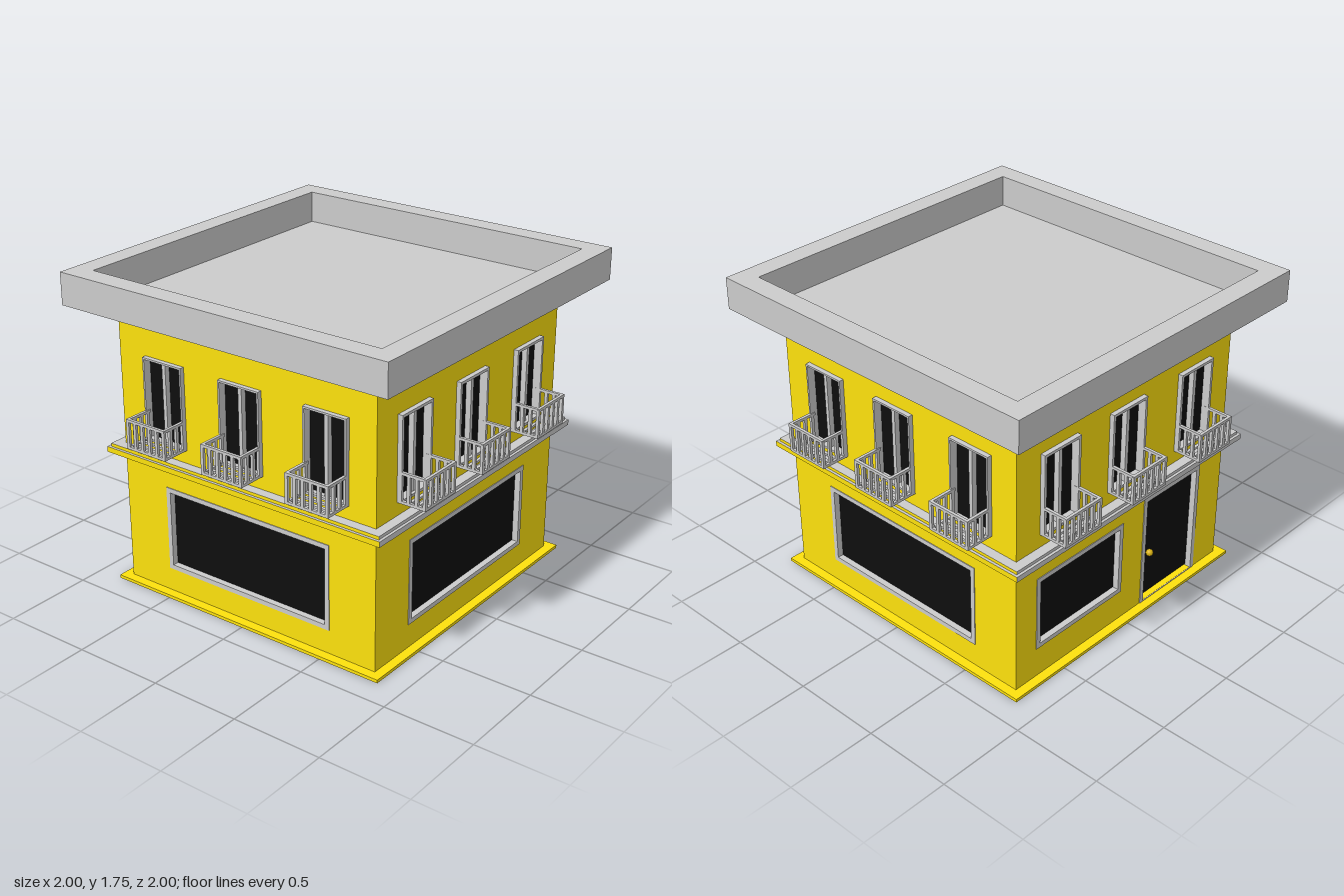
import * as THREE from 'three';

const mat = (color) => new THREE.MeshStandardMaterial({ color });
const grey = mat(0xcccccc), yellow = mat(0xfde10d), black = mat(0x0e0e0e), gold = mat(0xd8b010);
const WALL = 0.806; // half width of the building

function add(parent, name, geometry, material, x = 0, y = 0, z = 0) {
  const mesh = new THREE.Mesh(geometry, material);
  mesh.name = name;
  mesh.position.set(x, y, z);
  parent.add(mesh);
  return mesh;
}

const box = (parent, name, material, w, h, d, x, y, z) =>
  add(parent, name, new THREE.BoxGeometry(w, h, d), material, x, y, z);

// Rectangle path from left/right/bottom/top
function rect(Type, l, r, b, t) {
  const p = new Type();
  p.moveTo(l, b);
  p.lineTo(r, b);
  p.lineTo(r, t);
  p.lineTo(l, t);
  p.closePath();
  return p;
}

// Picture-frame ring with the dark pane set back inside it
function framedPane(parent, name, [l, r, b, t], rim, back, front, paneZ, sill = rim) {
  const shape = rect(THREE.Shape, l, r, b, t);
  shape.holes.push(rect(THREE.Path, l + rim, r - rim, b + sill, t - rim));
  const geo = new THREE.ExtrudeGeometry(shape, { depth: front - back, bevelEnabled: false });
  add(parent, name + 'Frame', geo, grey, 0, 0, back);
  box(parent, name + 'Pane', black, r - l - rim, t - b - rim, 0.01, (l + r) / 2, (b + t) / 2, paneZ - 0.005);
}

// Tall window with a centre mullion and an open railed balcony
function balconyWindow(x, rim) {
  const g = new THREE.Group();
  g.name = 'balconyWindow';
  g.position.x = x;
  const hw = 0.128, y0 = 0.875, y1 = 1.33, rail = 1.035, out = 0.97;
  framedPane(g, 'window', [-hw, hw, y0, y1], rim, WALL - 0.04, 0.832, WALL - 0.02);
  box(g, 'mullion', grey, 0.022, y1 - y0 - 0.02, 0.03, 0, (y0 + y1) / 2, WALL - 0.005);

  const b = new THREE.Group();
  b.name = 'balcony';
  g.add(b);
  const depth = out - WALL, midZ = (out + WALL) / 2, midY = (y0 + rail) / 2, h = rail - y0;
  for (const y of [y0 + 0.007, rail - 0.003]) {
    box(b, 'frontRail', grey, hw * 2, 0.015, 0.016, 0, y, out - 0.008);
    for (const s of [-1, 1]) box(b, 'sideRail', grey, 0.016, 0.015, depth, s * (hw - 0.008), y, midZ);
  }
  for (let i = 0; i < 6; i++) {
    const px = (hw - 0.008) * (i / 2.5 - 1);
    box(b, 'frontBaluster', grey, 0.018, h, 0.016, px, midY, out - 0.008);
  }
  for (const s of [-1, 1]) for (let i = 1; i < 4; i++)
    box(b, 'sideBaluster', grey, 0.016, h, 0.018, s * (hw - 0.008), midY, out - 0.008 - i * 0.046);
  for (let i = 1; i < 4; i++)
    box(b, 'floorSlat', grey, hw * 2 - 0.02, 0.012, 0.018, 0, y0 + 0.007, out - 0.008 - i * 0.046);
  return g;
}

// One wall with its openings, facing +z
function facade(name, windowXs, rim, openings) {
  const g = new THREE.Group();
  g.name = name;
  const wall = rect(THREE.Shape, -WALL, WALL, 0.01, 1.56);
  for (const { area: [l, r, b, t] } of openings)
    wall.holes.push(rect(THREE.Path, l + 0.005, r - 0.005, b + 0.005, t - 0.005));
  for (const x of windowXs)
    wall.holes.push(rect(THREE.Path, x - 0.123, x + 0.123, 0.88, 1.325));
  add(g, 'wall', new THREE.ExtrudeGeometry(wall, { depth: 0.06, bevelEnabled: false }), yellow, 0, 0, WALL - 0.06);
  for (const { name: n, area, sill } of openings)
    framedPane(g, n, area, 0.026, WALL - 0.05, WALL + 0.004, WALL - 0.03, sill);
  for (const x of windowXs) g.add(balconyWindow(x, rim));
  return g;
}

export function createModel() {
  const model = new THREE.Group();
  model.name = 'building';

  // Base slab
  box(model, 'base', yellow, 1.715, 0.018, 1.715, 0, 0.009, 0);

  // Four facades: shop windows on three sides, window and door at the back
  const shop = [{ name: 'shopWindow', area: [-0.528, 0.528, 0.15, 0.625] }];
  const rear = [
    { name: 'rearWindow', area: [-0.66, -0.01, 0.19, 0.62] },
    { name: 'door', area: [0.155, 0.615, 0.018, 0.685], sill: 0.004 },
  ];
  const mainXs = [-0.513, -0.02, 0.508], sideXs = [-0.502, -0.005, 0.52];
  const sides = [
    facade('frontFacade', mainXs, 0.015, shop),
    facade('leftFacade', sideXs, 0.01, shop),
    facade('backFacade', mainXs, 0.015, rear),
    facade('rightFacade', sideXs, 0.01, shop),
  ];
  sides.forEach((side, i) => {
    side.rotation.y = i * Math.PI / 2;
    model.add(side);
  });
  add(sides[2], 'doorKnob', new THREE.SphereGeometry(0.02, 20, 14), gold, 0.222, 0.315, WALL);

  // Stepped string course, grey with yellow ends
  const courseMats = [yellow, yellow, grey, grey, grey, grey];
  box(model, 'lowerCourse', courseMats, 1.75, 0.03, 1.75, 0, 0.77, 0);
  box(model, 'upperCourse', courseMats, 1.72, 0.017, 1.72, 0, 0.7935, 0);

  // Roof: square profile with sloped soffit, parapet and sunken deck
  const profile = [[0, 1.54], [0.88, 1.54], [1, 1.575], [1, 1.75], [0.885, 1.75], [0.885, 1.575], [0, 1.575]]
    .map(([r, y]) => new THREE.Vector2(r * Math.SQRT2, y));
  const roofMat = new THREE.MeshStandardMaterial({ color: 0xcccccc, flatShading: true });
  add(model, 'roof', new THREE.LatheGeometry(profile, 4, Math.PI / 4), roofMat);

  return model;
}
